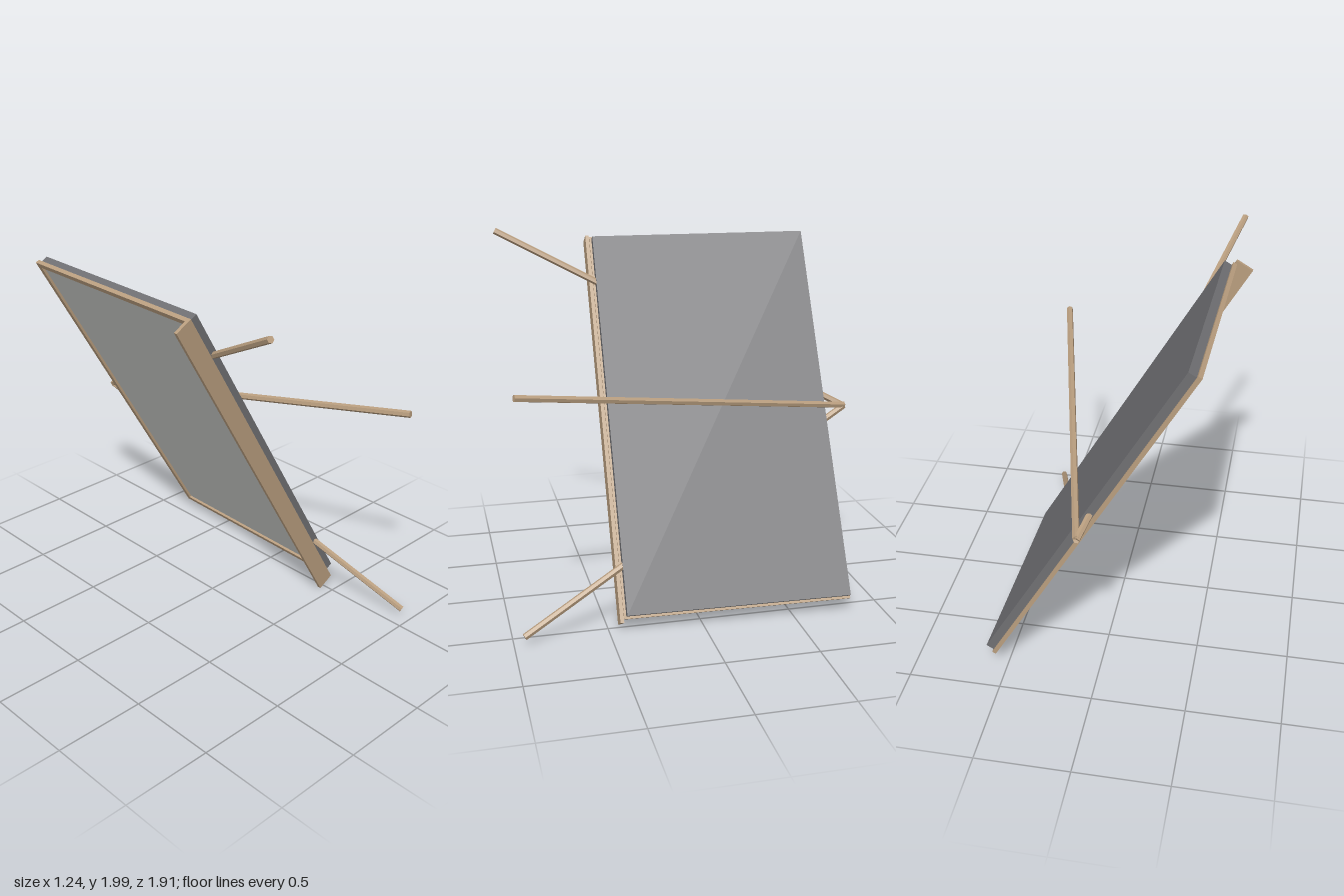
import * as THREE from 'three';

function flatColour(name, color) {
  const material = new THREE.MeshStandardMaterial({ color });
  material.name = name;
  return material;
}
const wood = flatColour('wood', 0xb89d7e);
const slate = flatColour('slate grey', 0x6f6f72);
const paper = flatColour('pale grey', 0xcbcdca);

// Box given by its minimum and maximum corners
function slab(name, material, a, b) {
  const mesh = new THREE.Mesh(new THREE.BoxGeometry(b[0] - a[0], b[1] - a[1], b[2] - a[2]), material);
  mesh.position.set((a[0] + b[0]) / 2, (a[1] + b[1]) / 2, (a[2] + b[2]) / 2);
  mesh.name = name;
  return mesh;
}

// Six-sided rod between two points
function rod(name, from, to, radius) {
  const a = new THREE.Vector3(...from), b = new THREE.Vector3(...to);
  const dir = b.clone().sub(a);
  const geometry = new THREE.CylinderGeometry(radius, radius, dir.length(), 6).toNonIndexed();
  geometry.computeVertexNormals();
  const mesh = new THREE.Mesh(geometry, wood);
  mesh.position.copy(a).add(b).multiplyScalar(0.5);
  mesh.quaternion.setFromUnitVectors(new THREE.Vector3(0, 1, 0), dir.normalize());
  mesh.name = name;
  return mesh;
}

export function createModel() {
  const model = new THREE.Group();
  model.name = 'easelBoard';

  // Writing board with frame and ledge: x is its thickness, y and z lie in its plane
  const board = new THREE.Group();
  board.name = 'board';
  board.rotation.set(0, -0.027, Math.PI / 6, 'YXZ');
  board.add(
    slab('backPanel', slate, [0.524, -0.207, -0.828], [0.57, 1.907, 0.395]),
    slab('writingFace', paper, [0.516, -0.2, -0.82], [0.524, 1.9, 0.39])
  );

  // Thin frame around the writing face, slightly wider than the panel
  const [y0, y1, z0, z1] = [-0.22, 1.921, -0.838, 0.407];
  const [f0, f1, w] = [0.502, 0.525, 0.03];
  board.add(
    slab('frameSide', wood, [f0, y0, z0], [f1, y0 + w, z1]),
    slab('frameSide', wood, [f0, y1 - w, z0], [f1, y1, z1]),
    slab('frameTop', wood, [f0, y0 + w, z0], [f1, y1 - w, z0 + w]),
    slab('frameBottom', wood, [f0, y0 + w, z1 - w], [f1, y1 - w, z1]),
    slab('ledge', wood, [0.413, -0.237, 0.407], [0.515, 1.937, 0.427])
  );
  model.add(board);

  // Three legs meeting at one apex; the front pair runs inside the board
  const apex = [0.068, 1.01, -0.945];
  model.add(
    rod('frontLeg', apex, [-0.53, 1.975, 0.92], 0.018),
    rod('frontLeg', apex, [0.584, 0.047, 0.945], 0.018),
    rod('rearLeg', [0.07, 1.015, -0.945], [0.513, 1.29, 0.945], 0.019)
  );
  return model;
}
